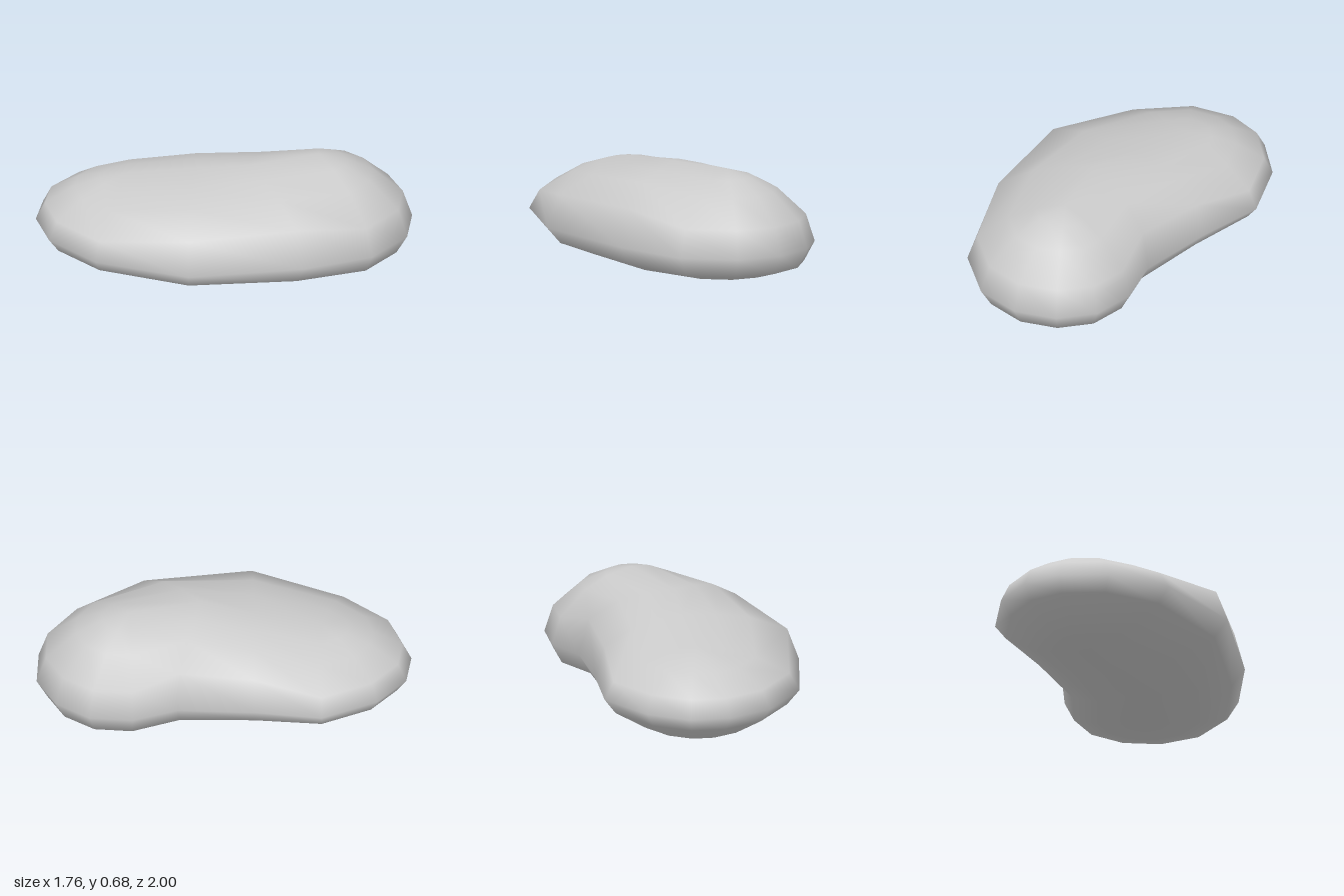
import * as THREE from 'three';

// Plan outline of the widest loop, clockwise from above: [x, z, spine index]
const OUTLINE = [
  [0.33, -1, 0], [0.58, -0.94, 0], [0.785, -0.755, 0], [0.88, -0.43, 0],
  [0.78, 0, 1], [0.475, 0.615, 2], [0, 0.945, 3], [-0.39, 1, 3],
  [-0.66, 0.9, 3], [-0.82, 0.73, 3], [-0.88, 0.46, 3], [-0.8, 0.1, 3],
  [-0.5, -0.17, 2], [-0.19, -0.5, 1], [-0.09, -0.76, 0], [0.09, -0.94, 0],
];

// Curved spine: [x, z, top, middle and bottom heights, top taper, bottom taper];
// a smaller taper gives a fuller cross-section
const SPINE = [
  [0.3, -0.46, 0.675, 0.24, 0.045, 0.93, 0.72],
  [0.14, -0.05, 0.655, 0.25, 0.025, 0.56, 1],
  [-0.1, 0.17, 0.605, 0.255, 0.012, 0.56, 1.3],
  [-0.37, 0.45, 0.545, 0.257, 0, 0.95, 1.55],
];

// Rounded profile from top to bottom: [share of the outline radius, share of the height]
const PROFILE = [
  [0, 1], [0.3, 0.9], [0.58, 0.72], [0.9, 0.35], [1, 0],
  [0.88, -0.5], [0.55, -0.84], [0.28, -0.95], [0, -1],
];

function beanGeometry() {
  const positions = [];
  const addVertex = (x, y, z) => positions.push(x, y, z) / 3 - 1;

  // Each loop shrinks towards the spine; the first and last collapse onto it
  const loops = PROFILE.map(([radius, height]) => {
    const point = ([x, z, s]) => {
      const [sx, sz, top, middle, bottom, topTaper, bottomTaper] = SPINE[s];
      const y = height > 0
        ? middle + (top - middle) * height ** topTaper
        : middle - (middle - bottom) * (-height) ** bottomTaper;
      return addVertex(sx + (x - sx) * radius, y, sz + (z - sz) * radius);
    };
    if (radius > 0) return OUTLINE.map(point);
    const shared = SPINE.map(([x, z], s) => point([x, z, s]));
    return OUTLINE.map(([, , s]) => shared[s]);
  });

  // Stitch neighbouring loops, leaving out collapsed triangles
  const indices = [];
  const addFace = (a, b, c) => {
    if (a !== b && b !== c && c !== a) indices.push(a, b, c);
  };
  for (let k = 0; k < loops.length - 1; k++) {
    const upper = loops[k], lower = loops[k + 1];
    for (let i = 0; i < OUTLINE.length; i++) {
      const j = (i + 1) % OUTLINE.length;
      addFace(upper[i], upper[j], lower[i]);
      addFace(upper[j], lower[j], lower[i]);
    }
  }

  const geometry = new THREE.BufferGeometry();
  geometry.setAttribute('position', new THREE.Float32BufferAttribute(positions, 3));
  geometry.setIndex(indices);
  geometry.computeVertexNormals();
  return geometry;
}

export function createModel() {
  const model = new THREE.Group();
  model.name = 'bean';
  const body = new THREE.Mesh(
    beanGeometry(),
    new THREE.MeshStandardMaterial({ color: 0xcccccc }),
  );
  body.name = 'beanBody';
  model.add(body);
  return model;
}
